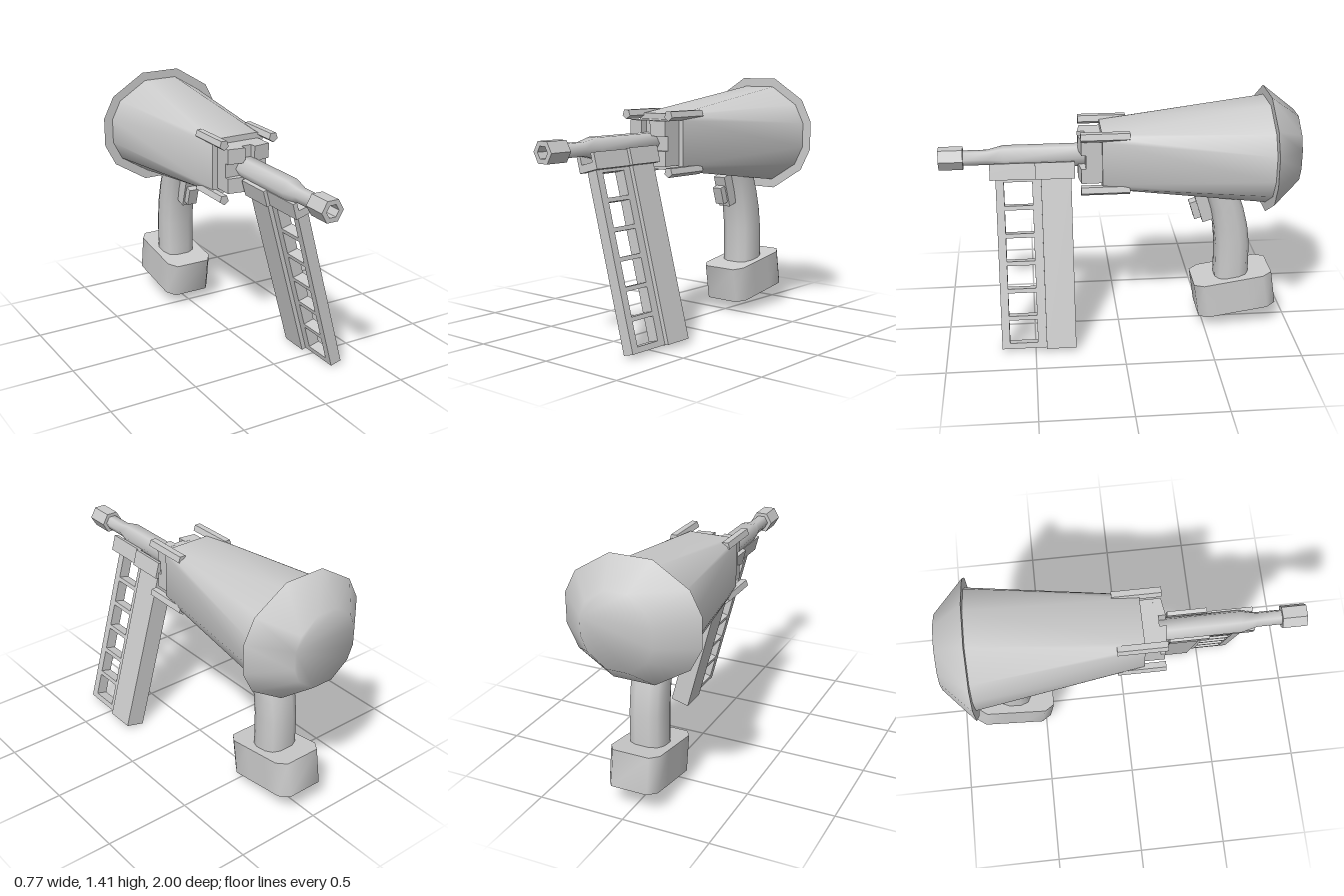
import * as THREE from 'three';
import { toCreasedNormals } from 'three/addons/utils/BufferGeometryUtils.js';

const AXIS_Y = 1.075;
const mat = new THREE.MeshStandardMaterial({ color: 0xcccccc });
const flatMat = new THREE.MeshStandardMaterial({ color: 0xcccccc, flatShading: true });

// One quadrant of each 12-sided outline, from the side round to the top
const DOME = [[1, 0.25], [0.83, 0.63], [0.31, 1]];
const SQUARE = [[1, 0.78], [0.95, 0.95], [0.78, 1]];
const GRIP = [[1, 0.35], [0.82, 0.78], [0.4, 1]];
const PACK = [[1, 0.3], [1, 0.76], [0.73, 1]];

// Mirrored outline, counter-clockwise
function ring(quadrant, hw, hh) {
  const back = [...quadrant].reverse();
  const side = (pts, sx, sy) => pts.map(([x, y]) => [x * hw * sx, y * hh * sy]);
  return [...side(quadrant, 1, 1), ...side(back, -1, 1), ...side(quadrant, -1, -1), ...side(back, 1, -1)];
}
const ringZ = (q, hw, hh, z) => ring(q, hw, hh).map(([x, y]) => [x, y, z]);
const ringY = (q, hw, hd, y, zc = 0) => ring(q, hw, hd).map(([x, v]) => [x, y, zc - v]);

// Skin a series of rings and close both ends
function loft(rings, crease = 1) {
  const n = rings[0].length;
  const pos = rings.flat(2);
  const index = [];
  for (let k = 0; k < rings.length - 1; k++) {
    for (let i = 0; i < n; i++) {
      const a = k * n + i, b = k * n + (i + 1) % n;
      index.push(a, b, b + n, a, b + n, a + n);
    }
  }
  const last = (rings.length - 1) * n;
  for (let i = 1; i < n - 1; i++) {
    index.push(0, i + 1, i, last, last + i, last + i + 1);
  }
  const g = new THREE.BufferGeometry();
  g.setAttribute('position', new THREE.Float32BufferAttribute(pos, 3));
  g.setIndex(index);
  return toCreasedNormals(g, crease);
}

function add(parent, name, geometry, x = 0, y = 0, z = 0, material = mat) {
  const mesh = new THREE.Mesh(geometry, material);
  mesh.name = name;
  mesh.position.set(x, y, z);
  parent.add(mesh);
  return mesh;
}

// Box given by its limits
function block(parent, name, x0, x1, y0, y1, z0, z1) {
  return add(parent, name, new THREE.BoxGeometry(x1 - x0, y1 - y0, z1 - z0),
    (x0 + x1) / 2, (y0 + y1) / 2, (z0 + z1) / 2);
}

// Six-sided turned part lying along z, corners to the sides
function hexTurned(points, smooth) {
  const g = new THREE.LatheGeometry(points.map(([r, z]) => new THREE.Vector2(r, z)), 6, Math.PI / 6);
  g.rotateX(Math.PI / 2);
  return smooth ? toCreasedNormals(g, 1.1) : g;
}

export function createModel() {
  const model = new THREE.Group();
  model.name = 'nailGun';

  // Flared body and overhanging rear cap
  add(model, 'body', loft([ringZ(DOME, 0.33, 0.288, -0.83), ringZ(SQUARE, 0.16, 0.158, 0.1)]), 0, AXIS_Y);
  add(model, 'rearCap', loft([ringZ(DOME, 0.2, 0.208, -1), ringZ(DOME, 0.385, 0.338, -0.83)]), 0, AXIS_Y);

  // Front block with a cross-shaped groove between four tapered pads
  const head = new THREE.Group();
  head.name = 'frontBlock';
  head.position.y = AXIS_Y;
  model.add(head);
  block(head, 'blockBase', -0.13, 0.13, -0.125, 0.125, 0.08, 0.19);
  for (const sx of [-1, 1]) {
    for (const sy of [-1, 1]) {
      const pad = new THREE.BoxGeometry(0.1, 0.085, 0.06);
      const p = pad.attributes.position;
      for (let i = 0; i < p.count; i++) {
        if (p.getZ(i) > 0 && p.getX(i) * sx > 0) p.setZ(i, 0.015);
      }
      pad.computeVertexNormals();
      add(head, 'pad', pad, sx * 0.08, sy * 0.083, 0.2);

      // Five-sided corner bolts
      const bolt = new THREE.CylinderGeometry(0.029, 0.029, 0.27, 5).rotateX(Math.PI / 2);
      add(model, 'cornerBolt', bolt, sx * 0.156, AXIS_Y + sy * 0.155, 0.085, flatMat);
    }
  }

  // Barrel and hollow nozzle
  add(model, 'barrel', hexTurned([[0, 0.15], [0.066, 0.15], [0.066, 0.64], [0.043, 0.73], [0.043, 0.88]], true), 0, AXIS_Y);
  add(model, 'nozzle', hexTurned([[0, 0.865], [0.066, 0.865], [0.066, 1], [0.037, 1], [0.037, 0.9], [0, 0.9]], false),
    0, AXIS_Y, 0, flatMat);

  // Slanted magazine hung from a channel under the barrel
  const magazine = new THREE.Group();
  magazine.name = 'magazine';
  magazine.position.set(0.03, 1.005, 0);
  magazine.rotation.z = THREE.MathUtils.degToRad(15);
  model.add(magazine);
  for (const [hw, z0, z1, top] of [[0.085, 0.25, 0.47, 0.046], [0.065, 0.47, 0.72, 0.044]]) {
    block(magazine, 'channelFloor', -hw, hw, -0.047, -0.005, z0, z1);
    for (const s of [-1, 1]) {
      const inner = s * (hw - 0.025), outer = s * hw;
      block(magazine, 'channelWall', Math.min(inner, outer), Math.max(inner, outer), -0.005, top, z0, z1);
    }
  }
  block(magazine, 'magazineSpine', -0.0625, 0.0525, -1.022, -0.03, 0.27, 0.438);

  // Magazine rack with six windows
  const rack = new THREE.Shape();
  const rect = (path, z0, z1, y0, y1) =>
    path.moveTo(z0, y0).lineTo(z1, y0).lineTo(z1, y1).lineTo(z0, y1).closePath();
  rect(rack, 0.43, 0.69, -1.02, -0.03);
  for (let i = 0; i < 6; i++) {
    const y = -0.131 - i * 0.158;
    const hole = new THREE.Path();
    rect(hole, 0.487, 0.645, y - 0.067, y + 0.067);
    rack.holes.push(hole);
  }
  const rackGeo = new THREE.ExtrudeGeometry(rack, { depth: 0.066, bevelEnabled: false });
  rackGeo.rotateY(-Math.PI / 2);
  add(magazine, 'magazineRack', rackGeo, 0.028);

  // Curved grip: height, centre z and half depth of each section
  const grip = [[0.22, -0.667, 0.098], [0.34, -0.667, 0.098], [0.5, -0.665, 0.098],
    [0.62, -0.65, 0.097], [0.73, -0.625, 0.094], [0.82, -0.595, 0.092], [0.92, -0.555, 0.09]];
  add(model, 'grip', loft(grip.map(([y, z, d]) => ringY(GRIP, 0.1, d, y, z))));

  // Battery pack, tilted up at the rear
  const pack = loft([ringY(PACK, 0.145, 0.23, -0.104), ringY(PACK, 0.145, 0.23, 0.104)]);
  add(model, 'batteryPack', pack, 0, 0.202, -0.68).rotation.x = 0.153;

  // Trigger on its mount
  const trigger = new THREE.Group();
  trigger.name = 'trigger';
  trigger.position.set(0, 0.75, -0.5);
  trigger.rotation.x = 0.3;
  model.add(trigger);
  block(trigger, 'triggerMount', -0.04, 0.04, -0.095, 0.095, -0.05, 0.045);
  block(trigger, 'triggerButton', -0.03, 0.03, -0.065, 0.04, 0, 0.085);

  return model;
}
